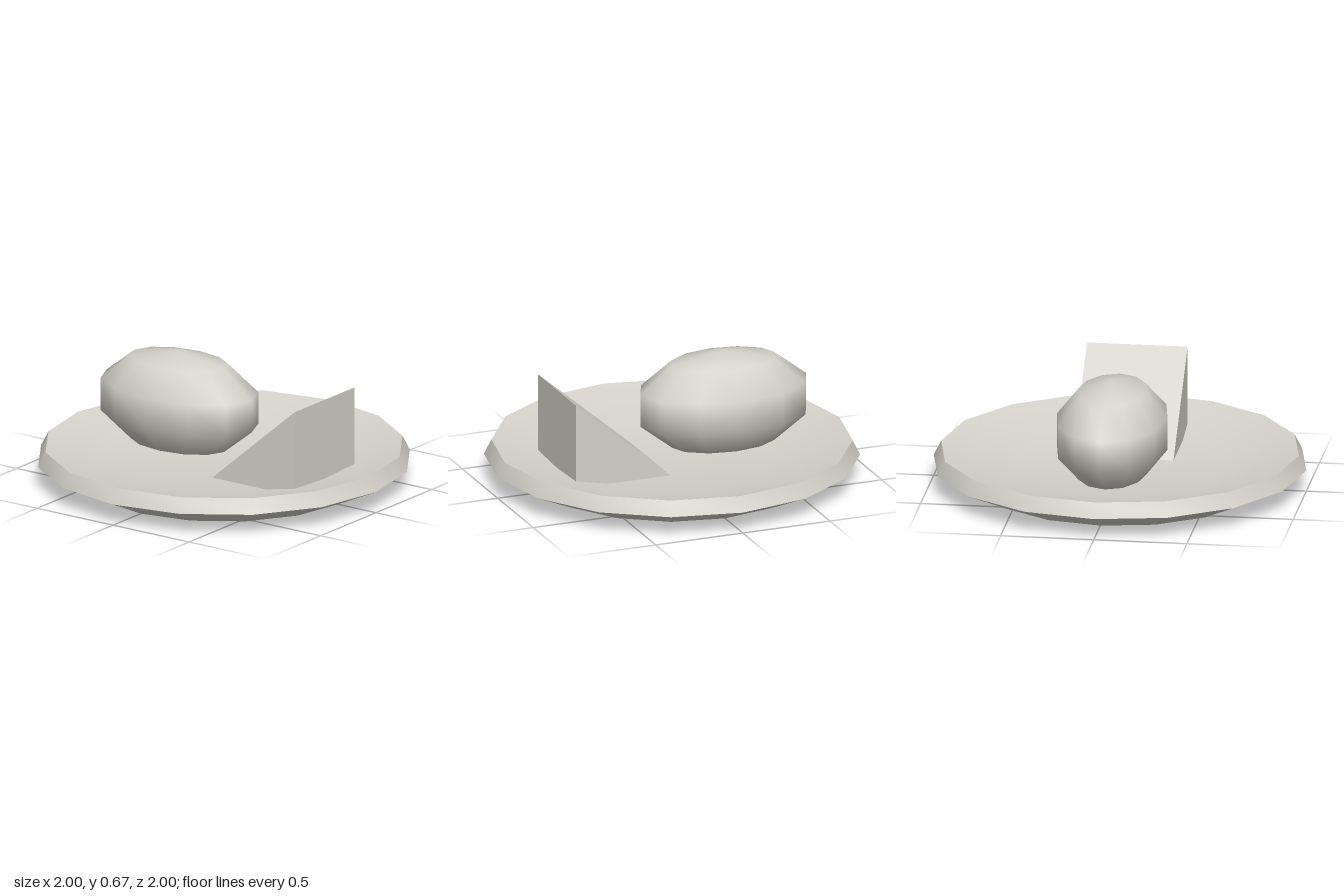
import * as THREE from 'three';
import { toCreasedNormals } from 'three/addons/utils/BufferGeometryUtils.js';

const vec = ([x, y]) => new THREE.Vector2(x, y);

export function createModel() {
  const model = new THREE.Group();
  const paleGrey = new THREE.MeshStandardMaterial({ color: 0xd4d2ca });
  paleGrey.name = 'pale grey';

  const add = (name, geometry) => {
    const mesh = new THREE.Mesh(geometry, paleGrey);
    mesh.name = name;
    model.add(mesh);
    return mesh;
  };

  // Plate: flat foot, flared underside, sharp rim and shallow dished top
  const profile = [[0, 0], [0.75, 0], [1, 0.115], [0.96, 0.195], [0.55, 0.1], [0, 0.1]];
  add('plate', toCreasedNormals(new THREE.LatheGeometry(profile.map(vec), 16), 0.7));

  // Oval loaf: a coarse sphere stretched along x, resting on the dish
  const oval = new THREE.SphereGeometry(1, 12, 5);
  oval.scale(0.5, 0.285, 0.312);
  add('ovalLoaf', oval).position.set(-0.294, 0.381, 0);

  // Wedge: right-angled prism with its slope facing the loaf
  const side = new THREE.Shape([[0.12, 0.1], [0.66, 0.1], [0.66, 0.565]].map(vec));
  const wedge = new THREE.ExtrudeGeometry(side, { depth: 0.54, bevelEnabled: false });
  wedge.translate(0, 0, -0.27);
  add('wedge', wedge);

  return model;
}
